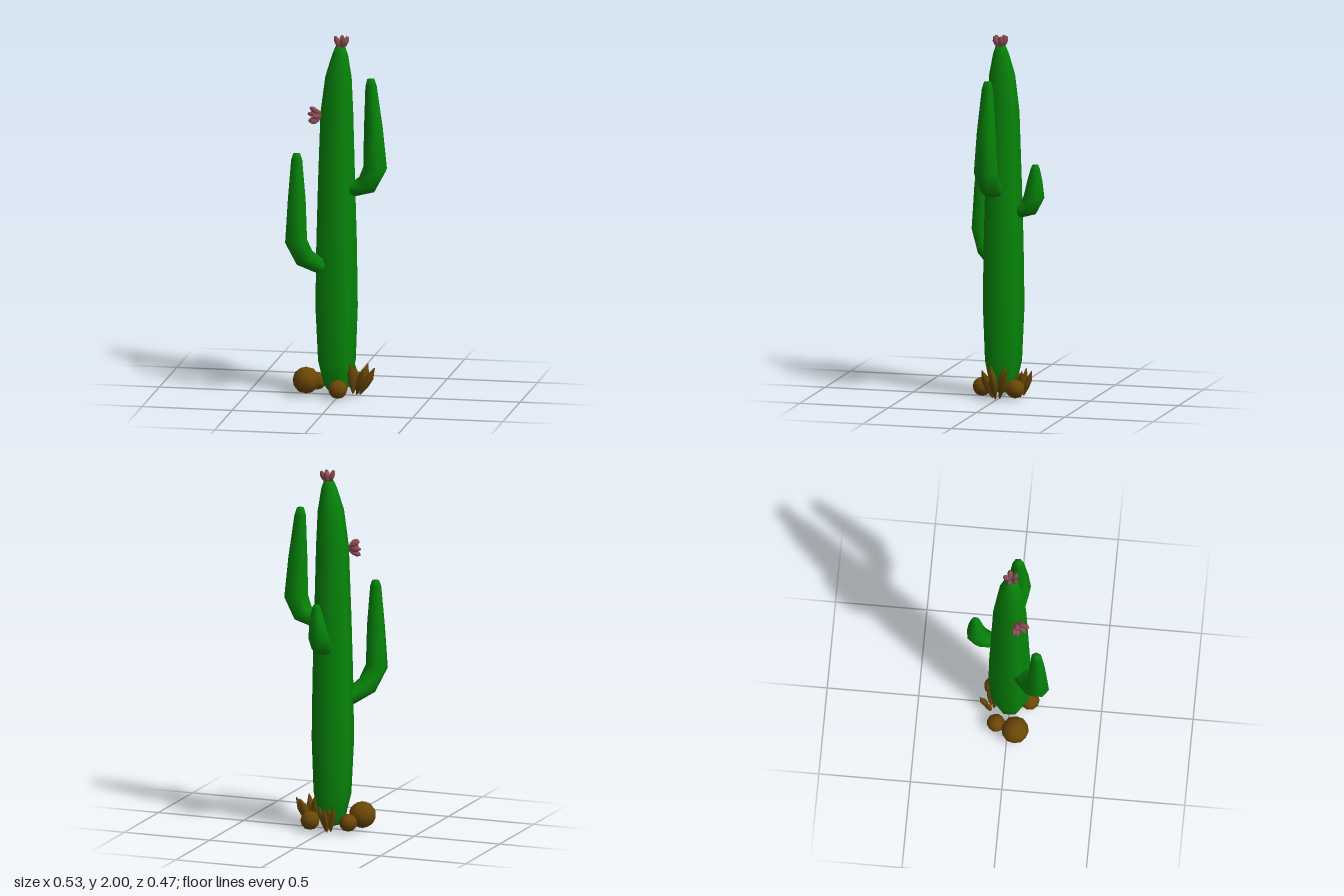
import * as THREE from 'three';
import { mergeVertices } from 'three/addons/utils/BufferGeometryUtils.js';

const green = new THREE.MeshStandardMaterial({ color: 0x068609 });
const brown = new THREE.MeshStandardMaterial({ color: 0x6b4806 });
const pink = new THREE.MeshStandardMaterial({ color: 0x8e4d54 });
const UP = new THREE.Vector3(0, 1, 0);
const X = new THREE.Vector3(1, 0, 0);

// Smooth closed tube through stations [x, y, z, radius]; side is the fixed ring axis
function loft(stations, sides, side, phase = 0) {
  const pts = stations.map(s => new THREE.Vector3(s[0], s[1], s[2]));
  const pos = [], index = [], n = pts.length;
  pts.forEach((p, i) => {
    const t = pts[Math.min(i + 1, n - 1)].clone().sub(pts[Math.max(i - 1, 0)]).normalize();
    const v = new THREE.Vector3().crossVectors(t, side).normalize();
    const u = new THREE.Vector3().crossVectors(v, t);
    for (let j = 0; j < sides; j++) {
      const a = phase + (j / sides) * Math.PI * 2, r = stations[i][3];
      const q = p.clone().addScaledVector(u, Math.cos(a) * r).addScaledVector(v, Math.sin(a) * r);
      pos.push(q.x, q.y, q.z);
    }
  });
  for (let i = 0; i < n - 1; i++) {
    for (let j = 0; j < sides; j++) {
      const k = (j + 1) % sides, a = i * sides, b = a + sides;
      index.push(a + j, a + k, b + k, a + j, b + k, b + j);
    }
  }
  // End caps
  const start = n * sides, last = (n - 1) * sides;
  pos.push(...pts[0].toArray(), ...pts[n - 1].toArray());
  for (let j = 0; j < sides; j++) {
    const k = (j + 1) % sides;
    index.push(start, k, j, start + 1, last + j, last + k);
  }
  const g = new THREE.BufferGeometry();
  g.setAttribute('position', new THREE.Float32BufferAttribute(pos, 3));
  g.setIndex(index);
  g.computeVertexNormals();
  return g;
}

function add(parent, name, geometry, material) {
  const m = new THREE.Mesh(geometry, material);
  m.name = name;
  parent.add(m);
  return m;
}

// Ring of petals or leaves opening around a direction
function rosette(name, part, origin, dir, count, tilt, length, width, geometry, material, phase = 0) {
  const g = new THREE.Group();
  g.name = name;
  for (let i = 0; i < count; i++) {
    const pivot = new THREE.Group();
    pivot.rotation.y = phase + (i / count) * Math.PI * 2;
    const blade = add(pivot, part, geometry, material);
    blade.position.x = width * 0.7;
    blade.rotation.z = -tilt;
    blade.scale.set(width, length, width);
    g.add(pivot);
  }
  g.position.set(...origin);
  g.quaternion.setFromUnitVectors(UP, new THREE.Vector3(...dir).normalize());
  return g;
}

export function createModel() {
  const model = new THREE.Group();
  model.name = 'cactus';

  // Seven-sided trunk
  const trunk = [
    [-0.015, 0.03, 0, 0.05], [-0.015, 0.06, 0, 0.075], [-0.018, 0.2, 0, 0.106],
    [-0.02, 0.5, 0, 0.119], [-0.02, 0.85, 0, 0.114], [-0.02, 1.2, 0, 0.104],
    [-0.018, 1.58, 0, 0.092], [-0.008, 1.78, 0.003, 0.074],
    [0.002, 1.9, 0.005, 0.045], [0.004, 1.945, 0.006, 0.028],
  ];
  add(model, 'trunk', loft(trunk, 7, X, 0.07), green);

  // Upturned arms
  const arms = {
    leftArm: [
      [0.02, 1.155, 0.01, 0.035], [0.09, 1.16, 0.012, 0.043], [0.158, 1.188, 0.02, 0.06],
      [0.204, 1.28, 0.03, 0.067], [0.194, 1.5, 0.03, 0.053],
      [0.18, 1.735, 0.028, 0.032], [0.178, 1.775, 0.028, 0.02],
    ],
    rightArm: [
      [-0.05, 0.72, 0.03, 0.035], [-0.1, 0.735, 0.07, 0.046], [-0.17, 0.79, 0.135, 0.058],
      [-0.21, 0.89, 0.172, 0.062], [-0.207, 1.12, 0.167, 0.05],
      [-0.208, 1.34, 0.162, 0.031], [-0.208, 1.372, 0.162, 0.02],
    ],
    backArm: [
      [-0.02, 1.035, -0.05, 0.035], [-0.018, 1.04, -0.105, 0.044], [-0.016, 1.06, -0.155, 0.056],
      [-0.013, 1.115, -0.182, 0.058], [-0.006, 1.2, -0.187, 0.043],
      [-0.002, 1.27, -0.19, 0.026], [-0.002, 1.293, -0.19, 0.017],
    ],
  };
  for (const [name, path] of Object.entries(arms)) {
    const a = path[0], b = path[3];
    const side = new THREE.Vector3(b[2] - a[2], 0, a[0] - b[0]).normalize();
    add(model, name, loft(path, 7, side), green);
  }

  // Rounded stones at the foot
  const ball = new THREE.IcosahedronGeometry(1, 1);
  ball.deleteAttribute('normal');
  ball.deleteAttribute('uv');
  const stone = mergeVertices(ball, 1e-3);
  stone.computeVertexNormals();
  const stones = [
    [-0.178, 0.085, 0.043, 0.075], [0.01, 0.055, 0.107, 0.053],
    [-0.138, 0.06, -0.065, 0.05], [0.073, 0.062, -0.097, 0.053],
  ];
  for (const [x, y, z, r] of stones) {
    const m = add(model, 'stone', stone, brown);
    m.position.set(x, y, z);
    m.scale.setScalar(r);
    m.rotation.y = x * 9;
  }

  // Pointed dry leaves and blunt flower petals, unit height
  const leaf = loft([[0, 0, 0, 0.15], [0, 0.35, 0, 0.7], [0, 0.65, 0, 0.85], [0, 1, 0, 0.1]], 5, X);
  const petal = loft([[0, 0, 0, 0.35], [0, 0.35, 0, 0.9], [0, 0.7, 0, 1], [0, 1, 0, 0.4]], 6, X);

  model.add(rosette('leftDryLeaves', 'dryLeaf', [0.092, 0.013, 0.003], [0.2, 1, 0], 5, 0.3, 0.17, 0.029, leaf, brown));
  model.add(rosette('backDryLeaves', 'dryLeaf', [-0.035, 0.01, -0.1], [0.03, 1, -0.13], 4, 0.2, 0.145, 0.021, leaf, brown, Math.PI / 2));

  // Flowers
  model.add(rosette('topFlower', 'petal', [0.008, 1.937, 0.005], [0, 1, 0], 5, 0.4, 0.067, 0.016, petal, pink, 0.3));
  model.add(rosette('sideFlower', 'petal', [-0.1, 1.565, 0.047], [-0.85, 0.1, 0.5], 6, 0.55, 0.064, 0.016, petal, pink));
  return model;
}
